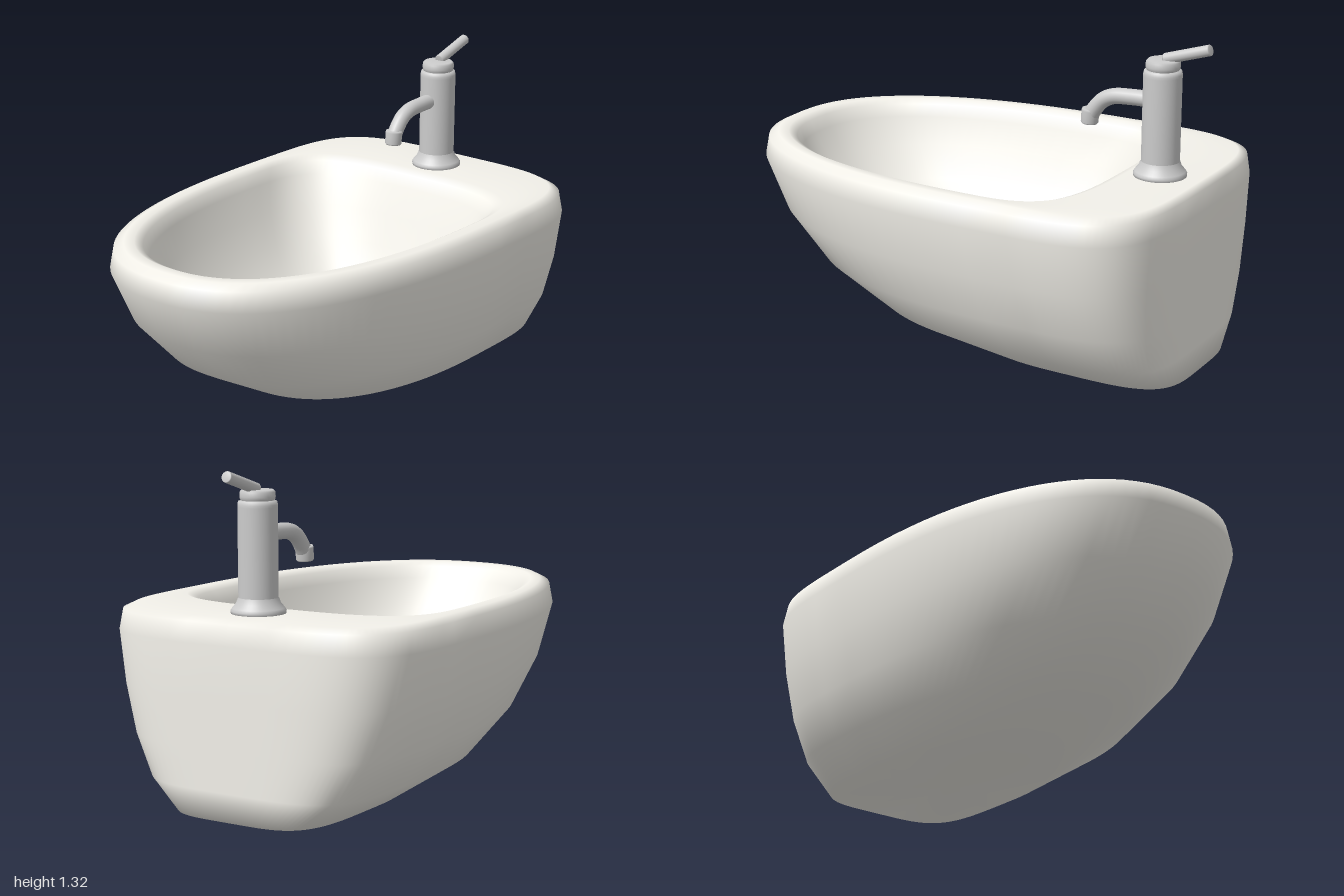
import * as THREE from 'three';

// Plan outline: soft square back, egg-shaped front
function ringPoint(t, [y, w, front, back, zc, square = 4.3]) {
  const c = Math.cos(t), s = Math.sin(t);
  const n = s >= 0 ? 2.35 : square;
  const p = (v) => Math.sign(v) * Math.pow(Math.abs(v), 2 / n);
  const reach = s >= 0 ? front - zc : zc - back;
  return [w * p(c), y, zc + reach * p(s)];
}

// Skin through a stack of outlines, closed by a centre point at both ends
function loft(rings, startCentre, endCentre, seg = 96) {
  const pos = [...startCentre], idx = [];
  for (const r of rings)
    for (let i = 0; i < seg; i++) pos.push(...ringPoint((i / seg) * Math.PI * 2, r));
  const end = pos.length / 3;
  pos.push(...endCentre);
  const at = (r, i) => 1 + r * seg + (i % seg);
  for (let i = 0; i < seg; i++) {
    idx.push(0, at(0, i), at(0, i + 1));
    for (let r = 0; r < rings.length - 1; r++) {
      const a = at(r, i), b = at(r, i + 1), c = at(r + 1, i), d = at(r + 1, i + 1);
      idx.push(a, c, b, b, c, d);
    }
    idx.push(at(rings.length - 1, i), end, at(rings.length - 1, i + 1));
  }
  const g = new THREE.BufferGeometry();
  g.setAttribute('position', new THREE.Float32BufferAttribute(pos, 3));
  g.setIndex(idx);
  g.computeVertexNormals();
  return g;
}

export function createModel() {
  const model = new THREE.Group();
  const metal = new THREE.MeshStandardMaterial({ color: 0xcccccc });
  const ceramic = new THREE.MeshStandardMaterial({ color: 0xf3f1ea });
  const add = (name, geometry, parent, material = metal) => {
    const mesh = new THREE.Mesh(geometry, material);
    mesh.name = name;
    parent.add(mesh);
    return mesh;
  };

  // Bowl: [height, half width, front z, back z, widest z, back squareness]
  const rings = [
    [0, 0.345, 0, -1, -0.5],
    [0.11, 0.5, 0.44, -1, -0.42],
    [0.27, 0.595, 0.72, -1, -0.36],
    [0.46, 0.655, 0.9, -1, -0.32],
    [0.67, 0.69, 1, -1, -0.3],
    [0.75, 0.675, 0.985, -0.99, -0.3],
    [0.77, 0.635, 0.945, -0.96, -0.3],
    // basin inside
    [0.77, 0.59, 0.9, -0.665, -0.25, 3.3],
    [0.752, 0.558, 0.865, -0.622, -0.25, 3.2],
    [0.7, 0.537, 0.84, -0.598, -0.22, 3],
    [0.58, 0.495, 0.77, -0.55, -0.18, 2.9],
    [0.45, 0.43, 0.65, -0.498, -0.15, 2.8],
    [0.33, 0.35, 0.47, -0.446, -0.12, 2.7],
    [0.24, 0.25, 0.24, -0.395, -0.12, 2.6],
    [0.195, 0.13, 0.03, -0.3, -0.13, 2.5],
  ];
  add('bowl', loft(rings, [0, 0, -0.5], [0, 0.185, -0.14]), model, ceramic);

  // Drain plug, its back edge sunk into the floor
  const drain = add('drain', new THREE.SphereGeometry(0.075, 32, 16), model);
  drain.scale.y = 0.3;
  drain.rotation.x = -0.12;
  drain.position.set(0, 0.187, -0.175);

  // Tap
  const tap = new THREE.Group();
  tap.name = 'tap';
  tap.position.z = -0.79;
  model.add(tap);
  const lathe = (pts) => new THREE.LatheGeometry(pts.map(([r, y]) => new THREE.Vector2(r, y)), 40);
  add('tapBase', lathe([[0, 0.765], [0.105, 0.765], [0.106, 0.78], [0.1, 0.79], [0.085, 0.808], [0.077, 0.83]]), tap);
  add('tapBody', lathe([[0.076, 0.8], [0.076, 0.81], [0.076, 1.17], [0.076, 1.18], [0.073, 1.193], [0.06, 1.197], [0, 1.197]]), tap);
  add('tapCap', lathe([[0.06, 1.19], [0.066, 1.2], [0.068, 1.21], [0.067, 1.228], [0.06, 1.236], [0, 1.237]]), tap);

  // Spout with nozzle
  const path = new THREE.CatmullRomCurve3([
    [1.068, 0.05], [1.066, 0.13], [1.058, 0.21], [1.037, 0.255], [1.0, 0.29], [0.965, 0.312],
  ].map(([y, z]) => new THREE.Vector3(0, y, z)));
  add('spout', new THREE.TubeGeometry(path, 32, 0.032, 20), tap);
  const nozzle = add('nozzle', lathe([[0, -0.03], [0.031, -0.03], [0.035, -0.025], [0.036, 0.022], [0.034, 0.03], [0, 0.03]]), tap);
  nozzle.position.set(0, 0.963, 0.314);
  nozzle.rotation.x = -0.08;

  // Lever leaning back
  const from = new THREE.Vector3(0, 1.238, -0.005), to = new THREE.Vector3(0, 1.297, -0.197);
  const dir = to.clone().sub(from);
  const len = dir.length(), r = 0.022;
  const lever = add('lever', lathe([
    [0, -len / 2], [r * 0.9, -len / 2], [r, -len / 2 + 0.004],
    [r, len / 2 - 0.004], [r * 0.9, len / 2], [0, len / 2],
  ]), tap);
  lever.position.copy(from).add(to).multiplyScalar(0.5);
  lever.quaternion.setFromUnitVectors(new THREE.Vector3(0, 1, 0), dir.normalize());

  return model;
}
